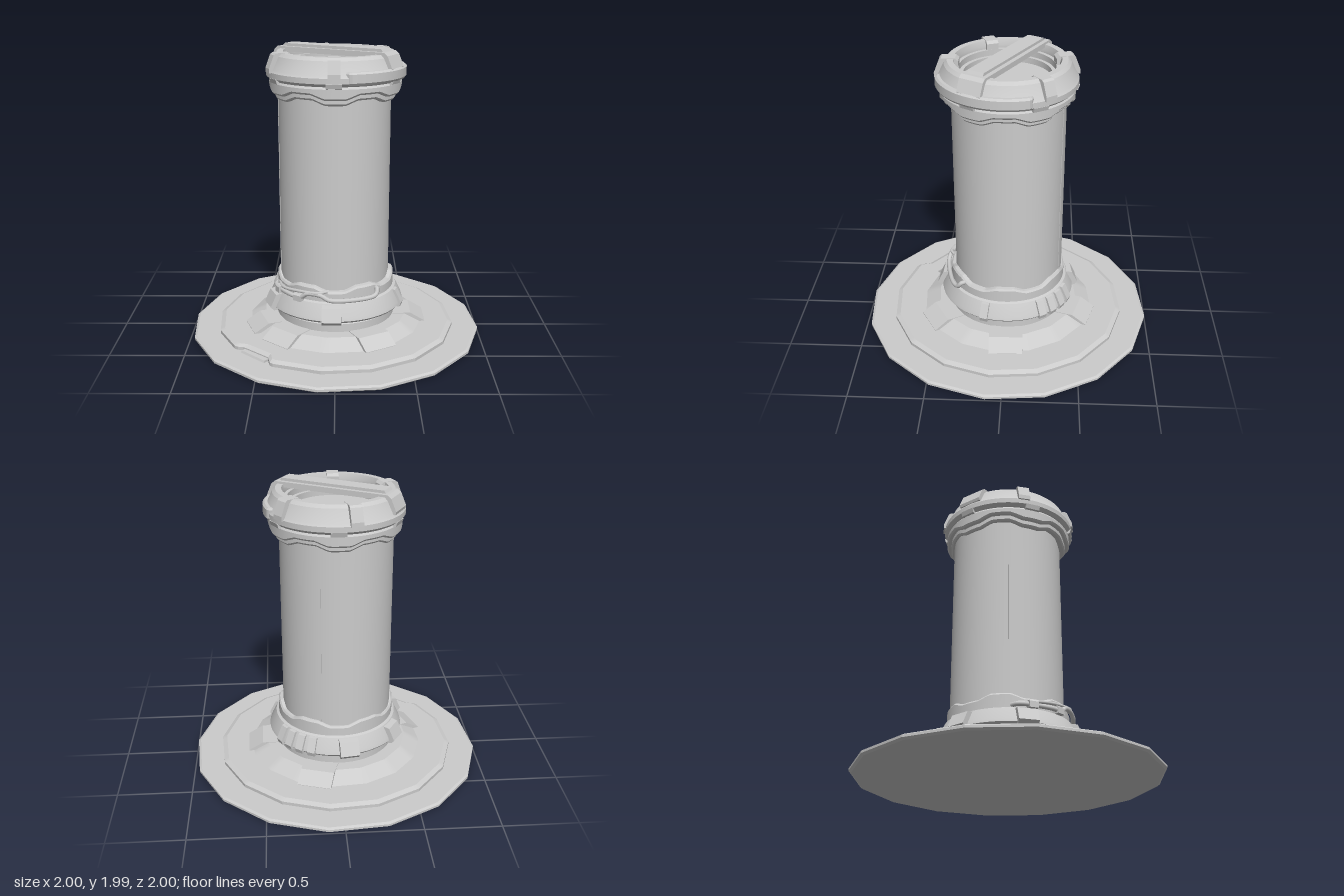
import * as THREE from 'three';
import { toCreasedNormals } from 'three/addons/utils/BufferGeometryUtils.js';

const RAD = Math.PI / 180;
const material = new THREE.MeshStandardMaterial({ color: 0xcccccc });
const clamp = THREE.MathUtils.clamp;

// Angles run in degrees from +x towards +z.
const OFFSET = 6.2;

// Radius of a 16-sided polygon at an angle
function poly(deg, R) {
  const side = 22.5;
  const a = ((((deg - OFFSET) % side) + side) % side) - side / 2;
  return (R * Math.cos((side / 2) * RAD)) / Math.cos(a * RAD);
}

// Six-fold trapezoid wave between -1 (low at the front) and 1
const wave = (deg) => clamp(1.7 * Math.cos(6 * deg * RAD), -1, 1);

// 1 inside an angular range, falling to 0 at its ends
function inside(deg, from, to, ramp) {
  const d = (((deg - from) % 360) + 360) % 360;
  return clamp(Math.min(d, to - from - d) / ramp, 0, 1);
}

// Sweep of a [radius, y] profile that may change with the angle
function sweep(group, name, profile, { from = OFFSET, to = OFFSET + 360, segs = 96 } = {}) {
  const pos = [], index = [];
  const n = profile(from).length;
  for (let i = 0; i <= segs; i++) {
    const deg = from + ((to - from) * i) / segs;
    for (const [r, y] of profile(deg)) pos.push(r * Math.cos(deg * RAD), y, r * Math.sin(deg * RAD));
  }
  for (let i = 0; i < segs; i++) {
    for (let j = 0; j < n - 1; j++) {
      const a = i * n + j, b = a + n;
      index.push(a, a + 1, b, b, a + 1, b + 1);
    }
  }
  const geo = new THREE.BufferGeometry();
  geo.setAttribute('position', new THREE.Float32BufferAttribute(pos, 3));
  geo.setIndex(index);
  return add(group, name, toCreasedNormals(geo, 0.3));
}

function add(group, name, geo) {
  const mesh = new THREE.Mesh(geo, material);
  mesh.name = name;
  group.add(mesh);
  return mesh;
}

// Block with a [radius, y] outline, extruded sideways and turned to an angle
function block(group, name, deg, width, outline) {
  const shape = new THREE.Shape(outline.map(([r, y]) => new THREE.Vector2(r, y)));
  const geo = new THREE.ExtrudeGeometry(shape, { depth: width, bevelEnabled: false });
  geo.translate(0, 0, -width / 2);
  const mesh = add(group, name, geo);
  mesh.rotation.y = -deg * RAD;
  return mesh;
}

// Round pipe through [angle, radius, y] points
function pipe(group, name, points, radius) {
  const curve = new THREE.CatmullRomCurve3(points.map(([d, r, y]) =>
    new THREE.Vector3(r * Math.cos(d * RAD), y, r * Math.sin(d * RAD))), false, 'centripetal');
  add(group, name, new THREE.TubeGeometry(curve, 50, radius, 8));
}

function makeBase() {
  const g = new THREE.Group();
  g.name = 'base';
  sweep(g, 'baseDisc', (d) => [
    [0, 0], [poly(d, 0.99), 0], [poly(d, 1.006), 0.012],
    [poly(d, 1.006), 0.027], [poly(d, 0.99), 0.036], [0, 0.036]]);

  // Raised step with a shallow notch in its rim
  sweep(g, 'baseStep', (d) => {
    const cut = 0.045 * inside(d, 121, 144, 3);
    return [[poly(d, 0.826) - cut, 0.03], [poly(d, 0.826) - cut, 0.058],
      [poly(d, 0.795) - cut, 0.072], [0.3, 0.072]];
  }, { segs: 192 });
  block(g, 'notchPlate', 132, 0.22, [[0.76, 0.03], [0.81, 0.03], [0.8, 0.05], [0.76, 0.05]]);

  // Sloping foot and its outer wedges
  sweep(g, 'footSlope', (d) => [[poly(d, 0.61), 0.07], [poly(d, 0.5), 0.13], [0.35, 0.13]]);
  for (const d of [-73, -1, 61, 130, 160]) {
    block(g, 'footWedge', d, 0.23, [[0.4, 0.06], [0.625, 0.06], [0.625, 0.075], [0.525, 0.134], [0.4, 0.134]]);
  }
  sweep(g, 'neck', () => [[0.41, 0.12], [0.41, 0.185], [0.39, 0.2], [0.39, 0.23], [0.3, 0.23]]);
  return g;
}

function makeCollar() {
  const g = new THREE.Group();
  g.name = 'collar';
  sweep(g, 'collarRing', () => [
    [0.37, 0.215], [0.455, 0.215], [0.468, 0.23], [0.462, 0.25], [0.42, 0.335], [0.395, 0.345], [0.36, 0.345]]);
  sweep(g, 'collarTrim', (d) => {
    const y = 0.425 + 0.015 * wave(d);
    return [[0.402, 0.33], [0.402, y - 0.012], [0.392, y], [0.365, y + 0.003]];
  }, { segs: 144 });

  // Clamps around the collar
  const clampShape = [[0.38, 0.21], [0.48, 0.21], [0.502, 0.235], [0.462, 0.32], [0.38, 0.335]];
  for (const d of [93, 158, 213, 262]) block(g, 'collarClamp', d, 0.13, clampShape);
  const ribShape = [[0.38, 0.21], [0.475, 0.21], [0.485, 0.24], [0.44, 0.33], [0.38, 0.34]];
  for (const d of [-66, -55, -44, -33, 18]) block(g, 'collarRib', d, 0.055, ribShape);

  // Pipes on the front
  pipe(g, 'upperPipe', [[170, 0.39, 0.36], [164, 0.425, 0.36], [135, 0.43, 0.36], [122, 0.43, 0.365],
    [116, 0.43, 0.395], [103, 0.43, 0.395], [95, 0.43, 0.365], [60, 0.43, 0.36], [51, 0.43, 0.37], [48, 0.42, 0.4], [46, 0.38, 0.405]], 0.016);
  pipe(g, 'lowerPipe', [[165, 0.4, 0.375], [145, 0.425, 0.385], [125, 0.425, 0.4], [105, 0.43, 0.41], [98, 0.39, 0.41]], 0.011);
  for (const d of [125, 152]) block(g, 'pipeClip', d, 0.06, [[0.38, 0.335], [0.45, 0.335], [0.45, 0.375], [0.44, 0.385], [0.38, 0.385]]);
  return g;
}

function makeCap() {
  const g = new THREE.Group();
  g.name = 'cap';

  // Two stacked trims with wavy lower edges
  sweep(g, 'lowerTrim', (d) => {
    const y = 1.672 + 0.016 * wave(d);
    return [[0.36, y], [0.398, y], [0.408, y + 0.012], [0.408, 1.76]];
  }, { segs: 144 });
  sweep(g, 'upperTrim', (d) => {
    const y = 1.71 + 0.016 * wave(d);
    return [[0.39, y], [0.428, y], [0.438, y + 0.012], [0.438, 1.765], [0.42, 1.79]];
  }, { segs: 144 });

  // Main rim with an open, stepped recess
  sweep(g, 'rim', () => [
    [0.38, 1.785], [0.435, 1.78], [0.457, 1.8], [0.457, 1.835], [0.445, 1.85], [0.405, 1.935], [0.385, 1.955],
    [0.345, 1.955], [0.335, 1.92], [0.335, 1.9], [0.31, 1.9], [0.31, 1.86], [0.285, 1.86], [0.285, 1.82], [0, 1.82]]);
  sweep(g, 'rimPlate', (d) => {
    const k = 0.04 * (1 - inside(d, -25, 83, 5));
    return [[0.42, 1.79], [0.457 - k, 1.79], [0.468 - k, 1.805], [0.468 - k, 1.86], [0.455 - k, 1.872], [0.41 - k, 1.872]];
  }, { from: -25, to: 83, segs: 54 });

  // Clips over the rim and the dark lugs below it
  for (const d of [-103, -37, 91, 159]) {
    block(g, 'rimClip', d, 0.08, [[0.31, 1.88], [0.4, 1.83], [0.468, 1.83], [0.468, 1.86],
      [0.435, 1.945], [0.42, 1.957], [0.33, 1.957], [0.31, 1.94]]);
  }
  for (let k = 0; k < 6; k++) {
    block(g, 'rimLug', 91 + 60 * k, 0.1, [[0.4, 1.755], [0.45, 1.77], [0.46, 1.8], [0.4, 1.8]]);
  }

  // Handle bar across the opening, with a raised centre rail
  const bar = new THREE.Group();
  bar.name = 'handle';
  block(bar, 'handleBar', 0, 0.17, [[-0.45, 1.85], [-0.4, 1.85], [-0.37, 1.935], [0.37, 1.935], [0.4, 1.85],
    [0.45, 1.85], [0.455, 1.87], [0.42, 1.95], [0.395, 1.97], [-0.395, 1.97], [-0.42, 1.95], [-0.455, 1.87]]);
  block(bar, 'handleRail', 0, 0.11, [[-0.38, 1.96], [0.38, 1.96], [0.36, 1.988], [-0.36, 1.988]]);
  bar.rotation.y = -29 * RAD;
  g.add(bar);
  return g;
}

export function createModel() {
  const model = new THREE.Group();
  model.name = 'column';
  model.add(makeBase(), makeCollar(), makeCap());

  // Smooth column shaft with slim seams
  const shaft = new THREE.Group();
  shaft.name = 'shaft';
  sweep(shaft, 'shaftTube', () => [[0.376, 0.22], [0.376, 1.75]]);
  for (const d of [-70, 170]) {
    block(shaft, 'shaftSeam', d, 0.012, [[0.37, 0.42], [0.379, 0.42], [0.379, 1.68], [0.37, 1.68]]);
  }
  shaft.position.set(-0.007, 0, -0.008);
  model.add(shaft);
  return model;
}
